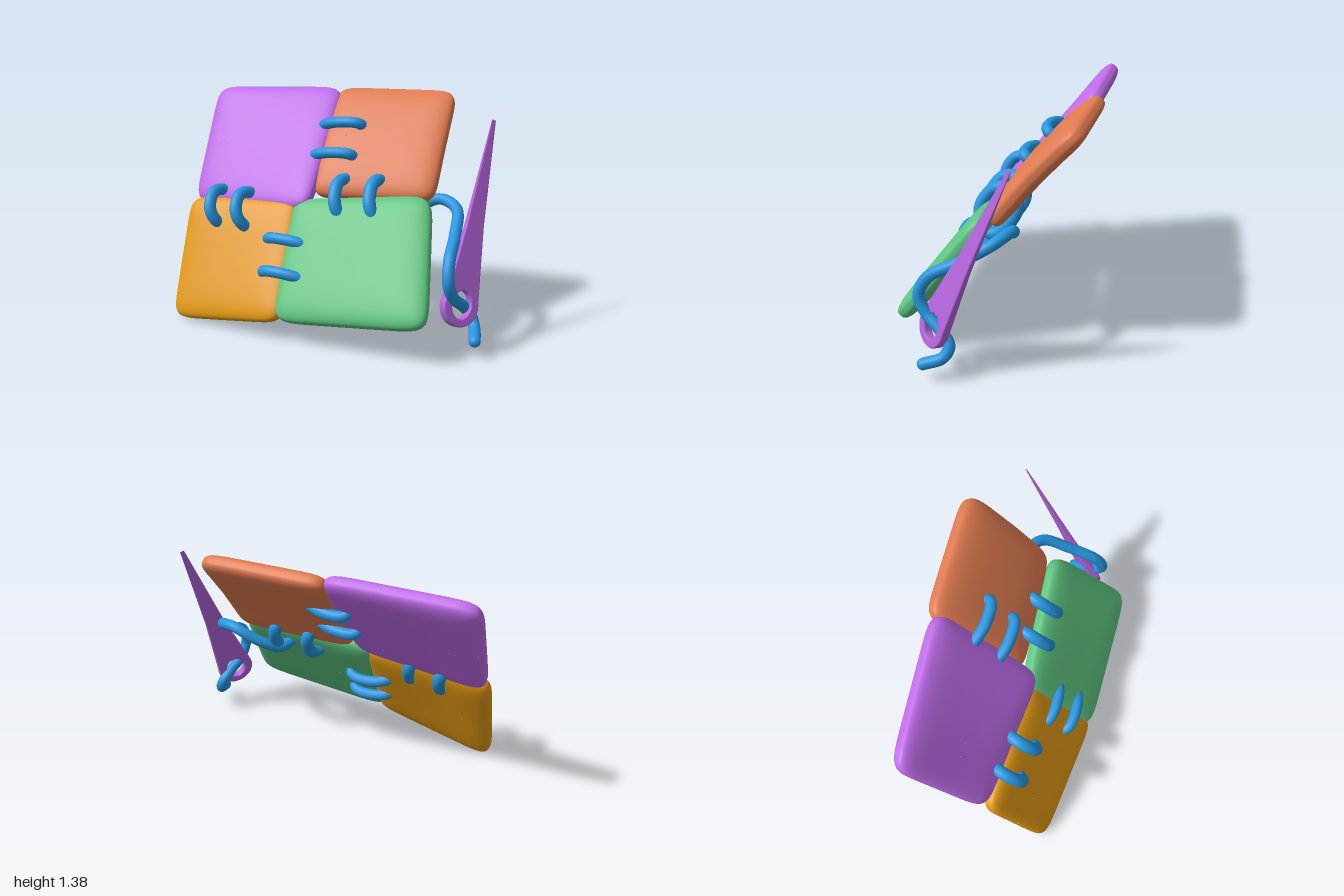
import * as THREE from 'three';
import { mergeVertices } from 'three/addons/utils/BufferGeometryUtils.js';

const V = (x, y, z) => new THREE.Vector3(x, y, z);
const mat = (color) => new THREE.MeshStandardMaterial({ color });
const pw = (v, e) => Math.sign(v) * Math.abs(v) ** e;
const blue = mat(0x2596e0);
const THREAD = 0.034;

function add(parent, name, geometry, material) {
  const mesh = new THREE.Mesh(geometry, material);
  mesh.name = name;
  parent.add(mesh);
  return mesh;
}

// Pillow: a sphere squared off into a cushion and stretched over four corners
function pillowGeometry([tl, tr, br, bl], bow) {
  const half = 0.066;
  const geo = new THREE.SphereGeometry(1, 96, 48);
  geo.deleteAttribute('uv');
  geo.deleteAttribute('normal');
  const pos = geo.attributes.position;
  const normal = tr.clone().sub(bl).cross(tl.clone().sub(br)).normalize();
  for (let i = 0; i < pos.count; i++) {
    const x = pos.getX(i), y = pos.getY(i), z = pos.getZ(i);
    const s = Math.hypot(x, z);
    const r = s < 1e-6 ? 0 : s ** 0.4;
    const u = s < 1e-6 ? 0 : r * pw(x / s, 2 / 9);
    const v = s < 1e-6 ? 0 : -r * pw(z / s, 2 / 9);
    const a = (1 + u) / 2, b = (1 + v) / 2;
    const p = bl.clone().lerp(br, a).lerp(tl.clone().lerp(tr, a), b);
    p.addScaledVector(normal, half * pw(y, 0.65) + bow * (1 - v * v));
    pos.setXYZ(i, p.x, p.y, p.z);
  }
  const merged = mergeVertices(geo, 1e-5);
  merged.computeVertexNormals();
  return merged;
}

// Stitch: closed flattened loop through the cloth, with its own front and back height
function stitchGeometry(center, along, out, a, front, back, radius) {
  const pts = [];
  for (let i = 0; i < 20; i++) {
    const t = (i / 20) * Math.PI * 2;
    const h = pw(Math.sin(t), 0.8) * (Math.sin(t) > 0 ? front : back);
    pts.push(center.clone().addScaledVector(along, a * pw(Math.cos(t), 0.85)).addScaledVector(out, h));
  }
  return new THREE.TubeGeometry(new THREE.CatmullRomCurve3(pts, true), 64, radius, 12, true);
}

// Needle: flat tapered blade with an oval eye, thinning toward the tip
function needleGeometry() {
  const R = 0.108, length = 1.065;
  const shape = new THREE.Shape();
  shape.moveTo(0.004, length);
  shape.lineTo(-0.004, length);
  shape.lineTo(-0.05, 0.46);
  shape.lineTo(-R * Math.cos(0.3), R * Math.sin(0.3));
  shape.absarc(0, 0, R, Math.PI - 0.3, Math.PI * 2 + 0.3, false);
  shape.lineTo(0.05, 0.46);
  const eye = new THREE.Path();
  eye.absellipse(0, 0.008, 0.07, 0.086, 0, Math.PI * 2, true);
  shape.holes.push(eye);
  const geo = new THREE.ExtrudeGeometry(shape, {
    depth: 0.03, bevelThickness: 0.012, bevelSize: 0.009, bevelSegments: 3, curveSegments: 32,
  });
  geo.translate(0, 0, -0.015);
  const pos = geo.attributes.position;
  for (let i = 0; i < pos.count; i++) {
    const k = Math.min(1, Math.max(0.1, 1 - pos.getY(i) / 1.1));
    pos.setZ(i, pos.getZ(i) * k);
  }
  geo.computeVertexNormals();
  return geo;
}

export function createModel() {
  const model = new THREE.Group();
  model.name = 'patchworkWithNeedle';

  // Four patches, corners: top left, top right, bottom right, bottom left; then forward bow
  const patches = [
    ['purplePatch', 0xc06cea, [V(-1.01, 1.325, -0.375), V(-0.13, 1.36, -0.45), V(-0.105, 0.7, 0.13), V(-0.95, 0.645, 0.06)], 0],
    ['orangePatch', 0xe07b50, [V(-0.18, 1.35, -0.475), V(0.59, 1.365, -0.51), V(0.62, 0.79, -0.03), V(-0.14, 0.76, 0.03)], 0.02],
    ['greenPatch', 0x5ec480, [V(-0.23, 0.74, 0.08), V(0.62, 0.835, 0.0), V(0.775, 0.21, 0.475), V(-0.16, 0.115, 0.495)], 0],
    ['goldPatch', 0xe49a14, [V(-0.96, 0.68, 0.07), V(-0.18, 0.74, 0.08), V(-0.11, 0.115, 0.49), V(-0.91, -0.015, 0.405)], 0],
  ];
  for (const [name, color, corners, bow] of patches) add(model, name, pillowGeometry(corners, bow), mat(color));

  // Stitches across the upright seams and the level seams
  const stitches = new THREE.Group();
  stitches.name = 'stitches';
  model.add(stitches);
  const across = V(1, 0.06, 0), level = V(1, -0.03, 0), down = V(0.13, -0.77, 0.6);
  const outRight = V(0.7, 0.61, 0.79), outLeft = V(-0.4, 0.61, 0.79), outDown = V(-0.5, 0.61, 0.79);
  const loops = [
    [V(-0.075, 1.14, -0.255), across, outRight, 0.135, 0.085, 0.085, THREAD],
    [V(-0.075, 0.975, -0.12), across, outRight, 0.135, 0.085, 0.085, THREAD],
    [V(-0.175, 0.5, 0.215), level, outLeft, 0.14, 0.085, 0.085, THREAD],
    [V(-0.145, 0.335, 0.335), level, outLeft, 0.14, 0.085, 0.085, THREAD],
    [V(-0.695, 0.64, 0.105), down, outDown, 0.115, 0.115, 0.075, 0.037],
    [V(-0.495, 0.65, 0.13), down, outDown, 0.115, 0.115, 0.075, 0.037],
    [V(0.115, 0.75, 0.015), down, outDown, 0.13, 0.12, 0.08, 0.038],
    [V(0.33, 0.76, 0.0), down, outDown, 0.135, 0.12, 0.08, 0.038],
  ];
  loops.forEach((l, i) => add(stitches, `stitch${i + 1}`, stitchGeometry(...l), blue));

  // Needle, leaning with the patches and turned about its length
  const needle = add(model, 'needle', needleGeometry(), mat(0xb465dc));
  const axis = V(0.89, 1.25, -0.24).sub(V(0.86, 0.28, 0.2)).normalize();
  const face = V(0.78, 0.26, 0.57);
  face.addScaledVector(axis, -face.dot(axis)).normalize();
  needle.quaternion.setFromRotationMatrix(
    new THREE.Matrix4().makeBasis(axis.clone().cross(face), axis, face));
  needle.position.set(0.86, 0.28, 0.2);

  // Loose thread from behind the green patch through the eye, with round ends
  const thread = new THREE.Group();
  thread.name = 'thread';
  model.add(thread);
  const path = [
    V(0.33, 0.66, 0.06), V(0.36, 0.65, -0.03), V(0.46, 0.71, -0.12), V(0.61, 0.785, -0.155),
    V(0.735, 0.755, -0.09), V(0.785, 0.65, 0.08), V(0.81, 0.55, 0.25), V(0.825, 0.44, 0.3),
    V(0.84, 0.34, 0.25), V(0.87, 0.27, 0.16), V(0.9, 0.2, 0.1), V(0.93, 0.14, 0.125), V(0.965, 0.1, 0.23),
  ];
  add(thread, 'threadStrand', new THREE.TubeGeometry(new THREE.CatmullRomCurve3(path), 140, THREAD, 14), blue);
  for (const p of [path[0], path[path.length - 1]]) {
    add(thread, 'threadEnd', new THREE.SphereGeometry(THREAD, 16, 12), blue).position.copy(p);
  }
  return model;
}
